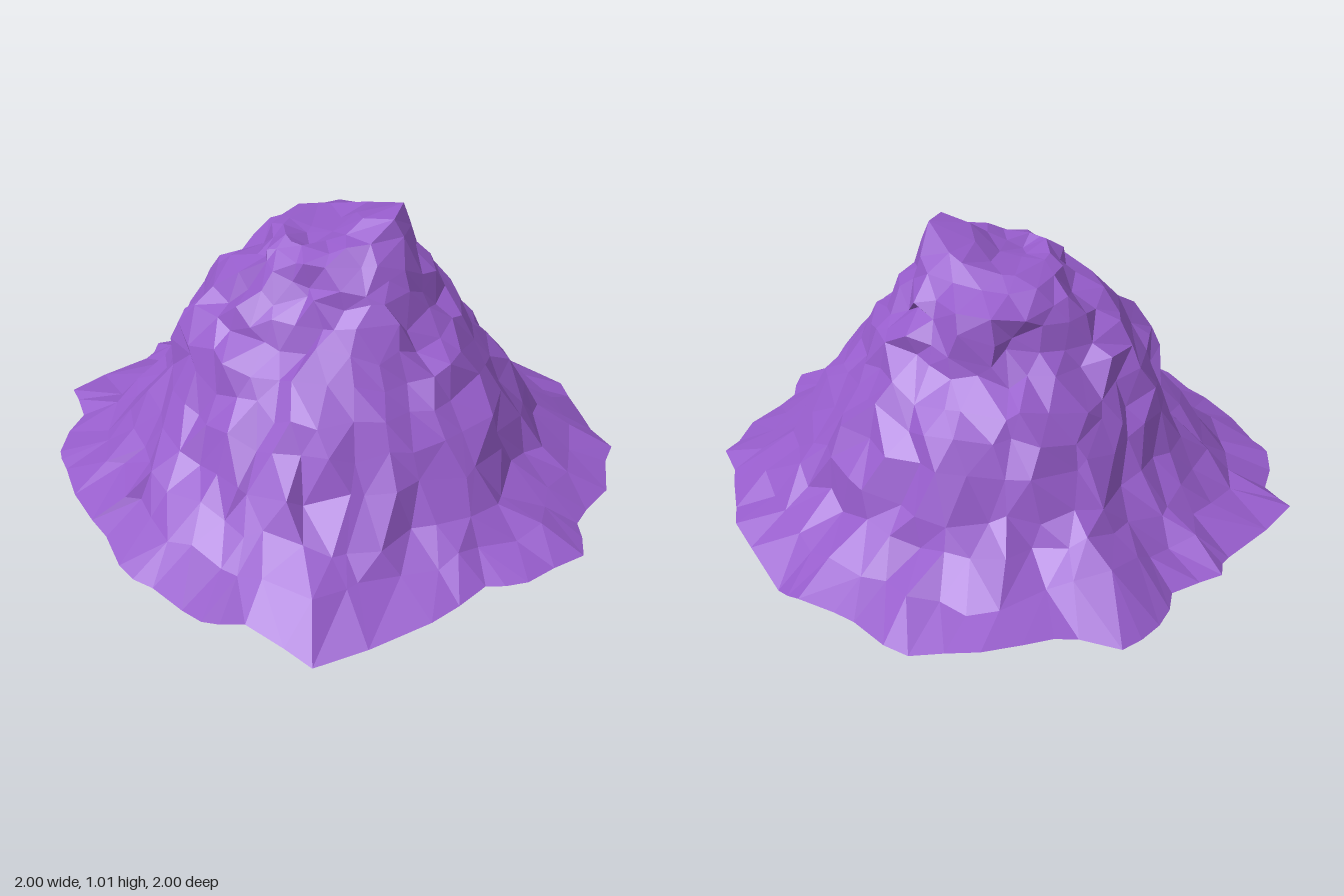
import * as THREE from 'three';

const TAU = Math.PI * 2;

// Seeded random in -1..1
let seed = 7;
const rnd = () => {
  seed = (seed * 16807) % 2147483647;
  return (seed / 2147483647) * 2 - 1;
};

// Ragged ground outline: x, z, y, walking from +x towards +z
const RIM = [
  [1, -.12, .07], [.98, .1, .05], [.88, .3, .06], [.9, .45, .06], [.73, .6, .06], [.6, .64, .06],
  [.45, .8, .04], [.12, 1, 0], [-.1, .91, .05], [-.23, .93, .06], [-.42, .8, .04], [-.55, .73, .05],
  [-.7, .55, .06], [-.88, .3, .05], [-.93, .22, .06], [-.92, 0, .06], [-1, -.12, .08], [-.8, -.4, .06],
  [-.78, -.5, .07], [-.63, -.6, .06], [-.6, -.75, .06], [-.5, -.87, .06], [-.3, -.88, .08], [-.1, -.98, .09],
  [.11, -1, .06], [.3, -.9, .07], [.5, -.82, .06], [.6, -.73, 0], [.82, -.5, .06], [.9, -.3, .06],
];

// Slope and crown rings: height, radius towards +x, +z, -x, -z, number of points
const RINGS = [
  [.12, .87, .85, .84, .86, 50],
  [.20, .75, .75, .72, .74, 46],
  [.30, .68, .66, .64, .68, 42],
  [.41, .61, .57, .58, .63, 38],
  [.50, .55, .49, .54, .57, 35],
  [.58, .48, .42, .50, .51, 32],
  [.65, .43, .33, .46, .42, 29],
  [.71, .39, .28, .40, .39, 26],
  [.77, .35, .24, .32, .37, 24],
  [.83, .31, .21, .24, .35, 21],
  [.88, .27, .18, .20, .28, 18],
  [.91, .23, .13, .15, .22, 14],
  [.89, .12, .06, .07, .11, 8],
];

// Radius of the outline in a given direction
function rimRadius(angle) {
  const dx = Math.cos(angle), dz = Math.sin(angle);
  for (let i = 0; i < RIM.length; i++) {
    const [ax, az] = RIM[i], [bx, bz] = RIM[(i + 1) % RIM.length];
    const ca = dx * az - dz * ax, cb = dx * bz - dz * bx;
    if (ca <= 0 && cb > 0) {
      const t = ca / (ca - cb);
      return Math.hypot(ax + (bx - ax) * t, az + (bz - az) * t);
    }
  }
  return 1;
}

// Every ring point is { p: [x, y, z], a: angle }
function buildRim() {
  const ring = [];
  const add = (x, y, z) => ring.push({ p: [x, y, z], a: Math.atan2(z, x) });
  RIM.forEach(([x, z, y], i) => {
    const [nx, nz, ny] = RIM[(i + 1) % RIM.length];
    const s = .5 + rnd() * .15, k = i === RIM.length - 1 || i === 0 ? .985 : 1 + rnd() * .018;
    add(x, y, z);
    add((x + (nx - x) * s) * k, y + (ny - y) * s, (z + (nz - z) * s) * k);
  });
  return ring;
}

function buildRing([height, px, pz, nx, nz, count], index) {
  const ring = [];
  const crown = height > .87;
  const offset = (index % 2) * .5 - .1;
  for (let i = 0; i < count; i++) {
    const a = ((i + offset + rnd() * .38) / count) * TAU;
    const c = Math.cos(a), s = Math.sin(a);
    const base = (c > 0 ? px : nx) * c * c + (s > 0 ? pz : nz) * s * s;
    const follow = Math.max(0, 1 - height * 1.1);
    // The front left shoulder is a little fuller than the rest
    const fuller = c > 0 && s > 0 && height > .3 && !crown ? 1 + .1 * c * s : 1;
    const r = base * fuller * (1 + (rimRadius(a) - 1) * follow) * .985 + rnd() * (crown ? .015 : .028);
    const x = c * r, z = s * r;
    // Low shelf at the back right corner of the foot
    const shelf = .08 * Math.exp(-((x + .45) ** 2 + (z + .72) ** 2) / .03);
    // The summit is one blunt peak on the crown's edge
    const peak = crown ? .13 * Math.exp(-((x - .17) ** 2 + (z + .02) ** 2) / .013) : 0;
    const rough = Math.min(crown ? .012 : .026, height * .15);
    ring.push({ p: [x, Math.min(1.01, height + shelf + peak + rnd() * rough), z], a });
  }
  return ring;
}

// Stitches an outer ring to an inner ring, matching points by angle
function stitch(index, outer, outerStart, inner, innerStart) {
  const n = outer.length, m = inner.length;
  const rel = (v) => (((v.a - outer[0].a) % TAU) + TAU) % TAU;
  let first = 0;
  inner.forEach((v, k) => { if (rel(v) < rel(inner[first])) first = k; });
  const o = (i) => outerStart + (i % n);
  const p = (j) => innerStart + ((j + first) % m);
  const outerAngle = (i) => rel(outer[i % n]) + (i >= n ? TAU : 0);
  const innerAngle = (j) => rel(inner[(j + first) % m]) + (j >= m ? TAU : 0);
  let i = 0, j = 0;
  while (i < n || j < m) {
    const outerNext = j >= m || (i < n
      && outerAngle(i) + outerAngle(i + 1) <= innerAngle(j) + innerAngle(j + 1));
    if (outerNext) {
      index.push(p(j), o(i + 1), o(i));
      i++;
    } else {
      index.push(p(j), p(j + 1), o(i));
      j++;
    }
  }
}

export function createModel() {
  seed = 7;
  const rings = [buildRim(), ...RINGS.map(buildRing)];
  const positions = [], starts = [], index = [];
  for (const ring of rings) {
    starts.push(positions.length / 3);
    ring.forEach((v) => positions.push(...v.p));
  }
  for (let k = 0; k + 1 < rings.length; k++) {
    stitch(index, rings[k], starts[k], rings[k + 1], starts[k + 1]);
  }

  // Shallow saddle closing the crown beside the summit
  const last = rings.length - 1, count = rings[last].length;
  const saddle = positions.length / 3;
  positions.push(.01, .9, -.02);
  for (let i = 0; i < count; i++) {
    index.push(saddle, starts[last] + ((i + 1) % count), starts[last] + i);
  }

  const geometry = new THREE.BufferGeometry();
  geometry.setAttribute('position', new THREE.Float32BufferAttribute(positions, 3));
  geometry.setIndex(index);
  const faceted = geometry.toNonIndexed();
  faceted.computeVertexNormals();

  // Open, hollow shell of rock
  const mound = new THREE.Mesh(faceted, new THREE.MeshStandardMaterial({
    color: 0x965ccb, flatShading: true, side: THREE.DoubleSide,
  }));
  mound.name = 'rockMound';

  const group = new THREE.Group();
  group.name = 'mountain';
  group.add(mound);
  return group;
}
